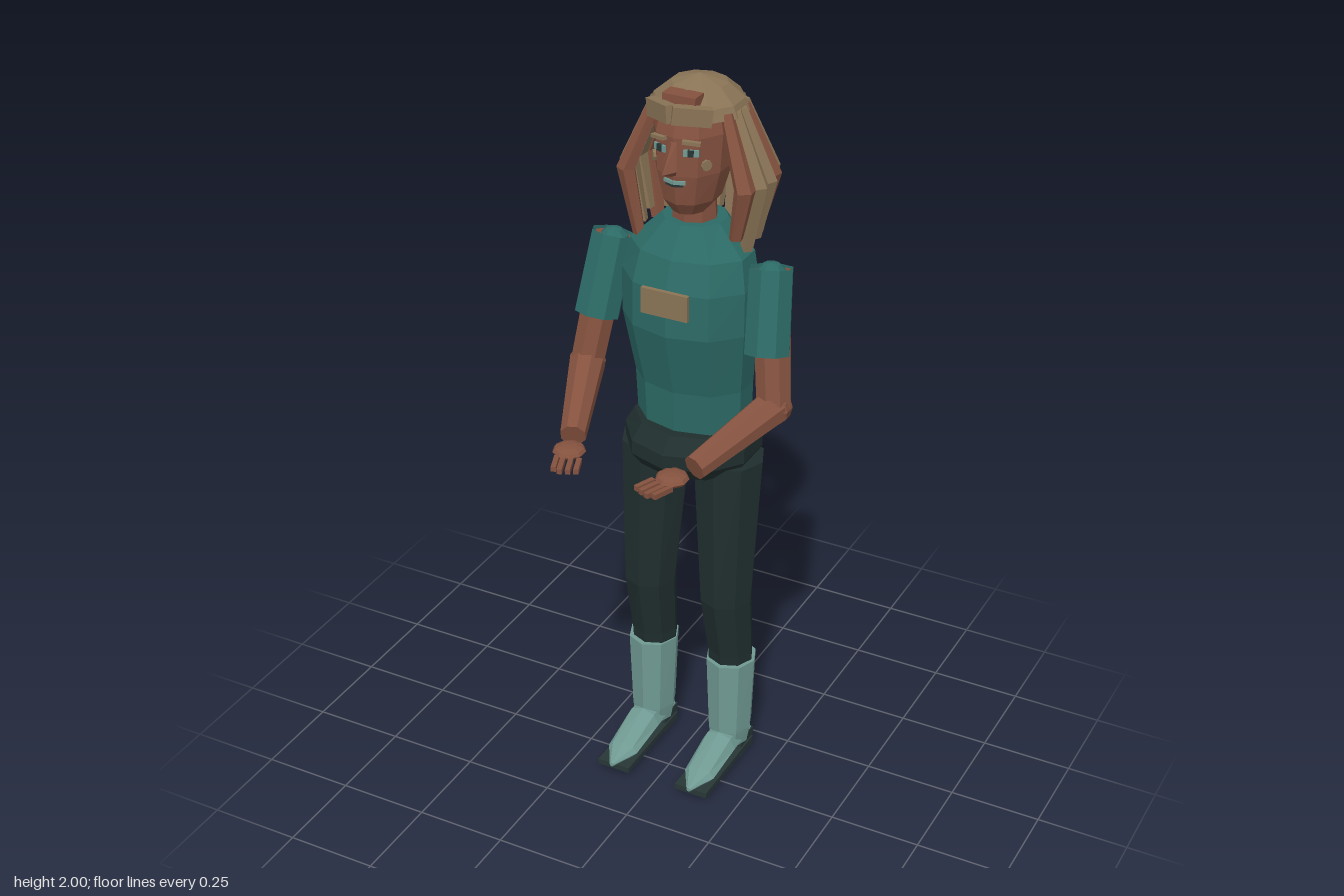
import * as THREE from 'three';

const paint = (name, color, side = THREE.FrontSide) =>
  new THREE.MeshStandardMaterial({ name, color, side, flatShading: true });

export function createModel() {
  const model = new THREE.Group();
  model.name = 'standingFigure';
  const shirt = paint('shirt teal', 0x2c6a66, THREE.DoubleSide);
  const trouser = paint('trouser charcoal', 0x202e2e);
  const boot = paint('boot pale teal', 0x709a93);
  const skin = paint('skin brown', 0x85523f);
  const hair = paint('hair tan', 0x8a7456);
  const sole = paint('sole dark', 0x283636);

  const add = (name, geometry, material, parent = model) => {
    const mesh = new THREE.Mesh(geometry, material);
    mesh.name = name;
    parent.add(mesh);
    return mesh;
  };

  // Closed skin over horizontal rings [x, y, z, rx, rz], bottom to top
  const loft = (rings, n = 8) => {
    const pos = [], idx = [];
    for (const [x, y, z, rx, rz] of rings)
      for (let i = 0; i < n; i++) {
        const a = (i / n) * Math.PI * 2;
        pos.push(x + rx * Math.sin(a), y, z + rz * Math.cos(a));
      }
    const first = rings[0], last = rings[rings.length - 1];
    const bottom = n * rings.length, top = bottom + 1, up = bottom - n;
    pos.push(...first.slice(0, 3), ...last.slice(0, 3));
    for (let i = 0; i < n; i++) {
      const j = (i + 1) % n;
      for (let r = 0; r < rings.length - 1; r++) {
        const b = r * n, t = b + n;
        idx.push(b + i, b + j, t + j, b + i, t + j, t + i);
      }
      idx.push(bottom, j, i, top, up + i, up + j);
    }
    const g = new THREE.BufferGeometry();
    g.setAttribute('position', new THREE.Float32BufferAttribute(pos, 3));
    g.setIndex(idx);
    g.computeVertexNormals();
    return g;
  };

  // Tapered cylinder between two points
  const limb = (name, p, q, r0, r1, material, open = false) => {
    const a = new THREE.Vector3(...p), b = new THREE.Vector3(...q);
    const d = b.clone().sub(a);
    const m = add(name, new THREE.CylinderGeometry(r1, r0, d.length(), 8, 1, open), material);
    m.position.copy(a).add(b).multiplyScalar(0.5);
    m.quaternion.setFromUnitVectors(new THREE.Vector3(0, 1, 0), d.normalize());
    return m;
  };

  const box = (name, size, at, material, ry = 0, rz = 0) => {
    const m = add(name, new THREE.BoxGeometry(...size), material);
    m.position.set(...at);
    m.rotation.set(0, ry, rz);
    return m;
  };

  const ball = (name, r, at, material, sy = 1) => {
    const m = add(name, new THREE.SphereGeometry(r, 9, 6), material);
    m.position.set(...at);
    m.scale.y = sy;
    return m;
  };

  // Trunk
  add('torso', loft([
    [0, 1.04, -0.145, 0.155, 0.115], [0, 1.18, -0.14, 0.16, 0.118],
    [0, 1.36, -0.115, 0.182, 0.138], [0, 1.48, -0.115, 0.182, 0.135],
    [0, 1.56, -0.125, 0.165, 0.118], [0, 1.635, -0.14, 0.085, 0.08],
  ], 10), shirt);
  add('hips', loft([
    [0, 0.9, -0.14, 0.05, 0.04], [0, 0.945, -0.14, 0.16, 0.145], [0, 0.985, -0.14, 0.183, 0.178],
    [0, 1.025, -0.14, 0.183, 0.178], [0, 1.065, -0.14, 0.16, 0.14],
  ], 10), trouser);
  box('chestPatch', [0.13, 0.07, 0.012], [0, 1.455, 0.024], hair);
  add('neck', loft([[0, 1.6, -0.14, 0.062, 0.06], [0, 1.72, -0.135, 0.055, 0.055]]), skin);

  // Head and face
  add('head', loft([
    [0, 1.665, -0.115, 0.045, 0.055], [0, 1.7, -0.125, 0.072, 0.09], [0, 1.78, -0.13, 0.094, 0.11],
    [0, 1.88, -0.135, 0.1, 0.115], [0, 1.95, -0.14, 0.085, 0.1],
  ], 10), skin);
  add('nose', loft([
    [0, 1.785, -0.02, 0.008, 0.012], [0, 1.805, 0.003, 0.021, 0.034], [0, 1.87, -0.022, 0.009, 0.01],
  ], 4), skin);

  for (const s of [-1, 1]) {
    const side = s > 0 ? 'left' : 'right';
    box(side + 'Eye', [0.038, 0.017, 0.008], [s * 0.042, 1.845, -0.034], boot, s * 0.36);
    box(side + 'Pupil', [0.015, 0.017, 0.008], [s * 0.042, 1.845, -0.031], sole, s * 0.36);
    box(side + 'Brow', [0.045, 0.009, 0.016], [s * 0.044, 1.873, -0.031], hair, s * 0.36, s * -0.1);
    box(side + 'Lip', [0.03, 0.009, 0.008], [s * 0.014, 1.765, -0.026], boot, s * 0.36);
    box(side + 'LowerLip', [0.024, 0.006, 0.008], [s * 0.011, 1.757, -0.026], sole, s * 0.36);
    const cheek = add(side + 'CheekDisc',
      new THREE.CylinderGeometry(0.014, 0.014, 0.009, 8).rotateX(Math.PI / 2), hair);
    cheek.position.set(s * 0.071, 1.81, -0.058);
    cheek.rotation.y = s * 0.9;

    // Arm: short open sleeve, bent elbow, hand held forward
    const shoulder = [s * 0.222, 1.545, -0.12], elbow = [s * 0.268, 1.195, -0.055];
    limb(side + 'Sleeve', [s * 0.242, 1.335, -0.063], shoulder, 0.061, 0.058, shirt, true);
    ball(side + 'Shoulder', 0.044, [s * 0.222, 1.515, -0.12], shirt);
    limb(side + 'UpperArm', elbow, [s * 0.222, 1.535, -0.12], 0.046, 0.051, skin);
    ball(side + 'Elbow', 0.048, elbow, skin);
    limb(side + 'Forearm', elbow, [s * 0.172, 1.12, 0.195], 0.048, 0.034, skin);
    ball(side + 'Palm', 0.043, [s * 0.145, 1.12, 0.262], skin, 0.38);
    for (const [x, z] of [[0.15, 0.324], [0.131, 0.328], [0.112, 0.32], [0.094, 0.31]])
      box(side + 'Finger', [0.013, 0.014, 0.058], [s * x, 1.113, z], skin, -s * 0.36);

    // Leg, boot and shoe
    add(side + 'Leg', loft([
      [s * 0.117, 0.31, -0.143, 0.063, 0.062], [s * 0.117, 0.36, -0.14, 0.064, 0.064],
      [s * 0.115, 0.54, -0.113, 0.072, 0.074], [s * 0.106, 0.97, -0.135, 0.098, 0.095],
    ]), trouser);
    add(side + 'BootShaft', loft([
      [s * 0.12, 0.05, -0.14, 0.052, 0.062], [s * 0.12, 0.1, -0.14, 0.06, 0.068],
      [s * 0.12, 0.33, -0.14, 0.07, 0.075],
    ]), boot);
    add(side + 'Foot', loft([
      [s * 0.12, -0.19, -0.06, 0.042, 0.035], [s * 0.12, -0.07, -0.066, 0.05, 0.04],
      [s * 0.12, 0.05, -0.044, 0.044, 0.022], [s * 0.12, 0.116, -0.035, 0.006, 0.006],
    ]).rotateX(Math.PI / 2), boot);
    box(side + 'Sole', [0.096, 0.016, 0.295], [s * 0.12, 0.023, -0.0425], sole);
    box(side + 'Heel', [0.086, 0.055, 0.075], [s * 0.12, 0.0275, -0.1625], sole);

    // Front fringe, half of a chevron
    box(side + 'Fringe', [0.098, 0.045, 0.026], [s * 0.042, 1.94, -0.036], hair, s * 0.58, s * -0.12);
  }
  box('fringeKnot', [0.09, 0.035, 0.045], [0, 1.962, -0.07], skin);

  // Hair: faceted cap ringed by hanging locks, every third one darker
  const hairdo = new THREE.Group();
  hairdo.name = 'hair';
  hairdo.position.z = -0.16;
  model.add(hairdo);
  add('hairCap', loft([
    [0, 1.915, 0, 0.12, 0.12], [0, 1.945, 0, 0.108, 0.11], [0, 1.98, 0, 0.068, 0.07], [0, 2, 0, 0, 0],
  ], 10), hair, hairdo);
  for (let i = 0; i < 8; i++)
    for (const s of [-1, 1]) {
      const drop = 1.57 + 0.02 * ((i * 2 + (s > 0 ? 1 : 0)) % 3);
      const lock = add('hairLock', loft([
        [0, drop, 0.142, 0.018, 0.016], [0, 1.75, 0.172, 0.029, 0.024], [0, 1.93, 0.1, 0.018, 0.018],
      ], 5), i % 3 === 1 ? skin : hair, hairdo);
      lock.rotation.y = Math.PI + s * (i + 0.5) * 0.271;
    }
  hairdo.scale.x = 1.06;
  return model;
}
